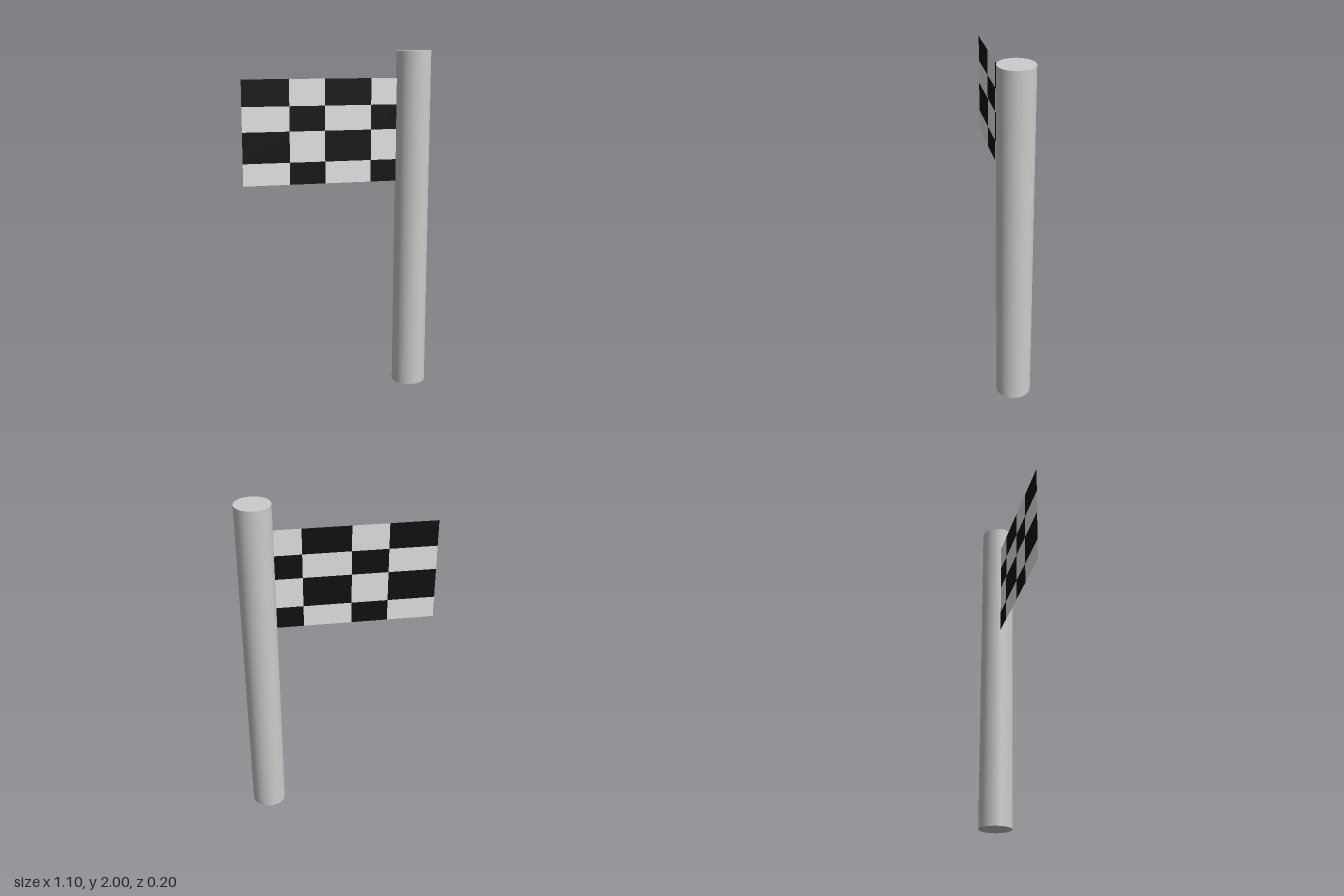
import * as THREE from 'three';

const poleGray = new THREE.MeshStandardMaterial({ name: 'poleGray', color: 0xcccccc });
const flagWhite = new THREE.MeshStandardMaterial({ name: 'flagWhite', color: 0xffffff, side: THREE.DoubleSide });
const flagBlack = new THREE.MeshStandardMaterial({ name: 'flagBlack', color: 0x111111, side: THREE.DoubleSide });

// Uneven checker lines of the cloth; the last column meets the pole
const columns = [-0.55, -0.28, -0.074, 0.198, 0.36];
const rows = [1.845, 1.694, 1.552, 1.375, 1.248];

export function createModel() {
  const model = new THREE.Group();
  model.name = 'checkeredFlag';

  // Upright round pole
  const pole = new THREE.Mesh(new THREE.CylinderGeometry(0.1, 0.1, 2, 48), poleGray);
  pole.name = 'pole';
  pole.position.set(0.45, 1, 0);
  model.add(pole);

  // Flat cloth, one sheet per check
  const flag = new THREE.Group();
  flag.name = 'flag';
  for (let r = 0; r < rows.length - 1; r++) {
    for (let c = 0; c < columns.length - 1; c++) {
      const [x0, x1, y1, y0] = [columns[c], columns[c + 1], rows[r], rows[r + 1]];
      const check = new THREE.Mesh(
        new THREE.PlaneGeometry(x1 - x0, y1 - y0),
        (r + c) % 2 === 0 ? flagBlack : flagWhite
      );
      check.name = `check row ${r + 1} column ${c + 1}`;
      check.position.set((x0 + x1) / 2, (y0 + y1) / 2, 0);
      flag.add(check);
    }
  }
  model.add(flag);

  return model;
}
